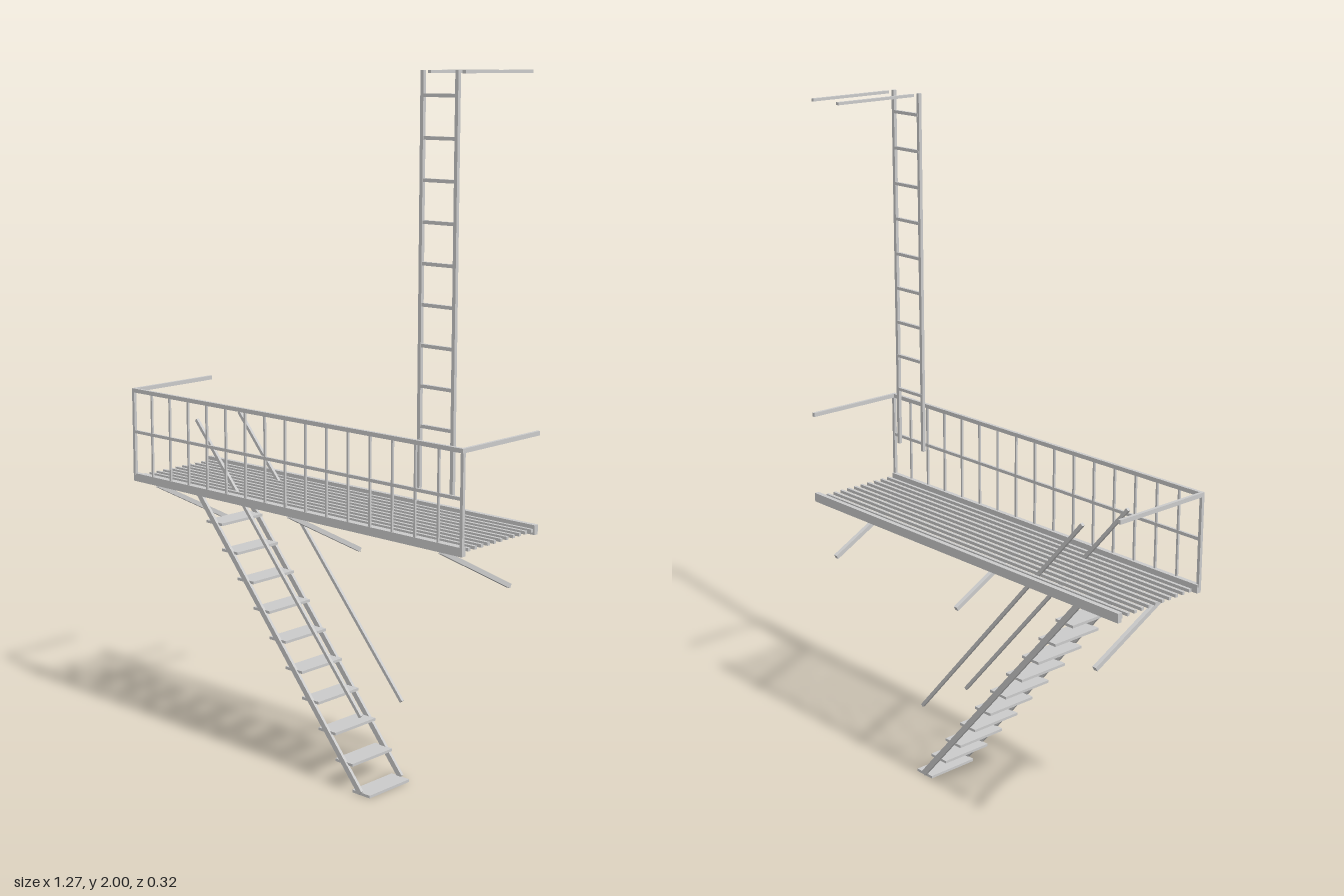
import * as THREE from 'three';

const material = new THREE.MeshStandardMaterial({ color: 0xcccccc, flatShading: true });

function box(parent, name, w, h, d, x, y, z) {
  const mesh = new THREE.Mesh(new THREE.BoxGeometry(w, h, d), material);
  mesh.name = name;
  mesh.position.set(x, y, z);
  parent.add(mesh);
  return mesh;
}

// Square bar running between two points
function bar(parent, name, from, to, width, depth = width) {
  const a = new THREE.Vector3(...from);
  const b = new THREE.Vector3(...to);
  const mid = a.clone().add(b).multiplyScalar(0.5);
  const mesh = box(parent, name, width, a.distanceTo(b), depth, mid.x, mid.y, mid.z);
  mesh.quaternion.setFromUnitVectors(new THREE.Vector3(0, 1, 0), b.sub(a).normalize());
}

function part(parent, name) {
  const group = new THREE.Group();
  group.name = name;
  parent.add(group);
  return group;
}

export function createModel() {
  const model = new THREE.Group();
  model.name = 'fireEscape';

  // Platform: open slats between two edge beams
  const platform = part(model, 'platform');
  for (let i = 0; i < 11; i++) {
    box(platform, 'slat', 1.26, 0.009, 0.009, 0, 0.799, -0.139 + i * 0.0263);
  }
  box(platform, 'backBeam', 1.27, 0.027, 0.014, 0, 0.801, -0.15);
  box(platform, 'frontBeam', 1.27, 0.024, 0.014, 0, 0.798, 0.153);

  // Sloping struts under the platform
  for (const x of [-0.55, -0.001, 0.548]) {
    bar(model, 'strut', [x, 0.781, 0.138], [x, 0.63, -0.15], 0.013);
  }

  // Guard rail along the front, with arms returning to the back
  const guard = part(model, 'guardRail');
  box(guard, 'topRail', 1.27, 0.012, 0.01, 0, 1.062, 0.156);
  box(guard, 'midRail', 1.26, 0.009, 0.007, 0, 0.937, 0.156);
  for (let i = 0; i <= 16; i++) {
    const end = i % 16 === 0;
    const w = end ? 0.009 : 0.006;
    box(guard, 'baluster', w, 0.27, w, -0.631 + i * 0.0789, 0.927, 0.156);
  }
  for (const side of [-1, 1]) {
    box(guard, 'sideRail', 0.009, 0.012, 0.316, side * 0.631, 1.062, 0.002);
  }

  // Stairs with stringers, treads and handrails
  const stairs = part(model, 'stairs');
  for (const z of [-0.091, 0.079]) {
    bar(stairs, 'stringer', [-0.435, 0.766, z], [0.217, 0.008, z], 0.017, 0.009);
  }
  for (const z of [-0.092, 0.081]) {
    bar(stairs, 'handrail', [-0.439, 0.988, z], [0.218, 0.234, z], 0.01, 0.009);
  }
  for (let i = 0; i <= 10; i++) {
    box(stairs, 'tread', 0.066, 0.008, 0.168, 0.217 - i * 0.0656, 0.005 + i * 0.0756, -0.006);
  }

  // Upright ladder with top arms
  const ladder = part(model, 'ladder');
  for (const x of [0.465, 0.577]) {
    box(ladder, 'ladderRail', 0.01, 1.075, 0.01, x, 1.4625, 0.131);
    box(ladder, 'topArm', 0.01, 0.008, 0.272, x, 1.996, -0.028);
  }
  for (let i = 0; i < 9; i++) {
    box(ladder, 'rung', 0.112, 0.009, 0.009, 0.521, 1.1 + i * 0.1048, 0.13);
  }

  return model;
}
